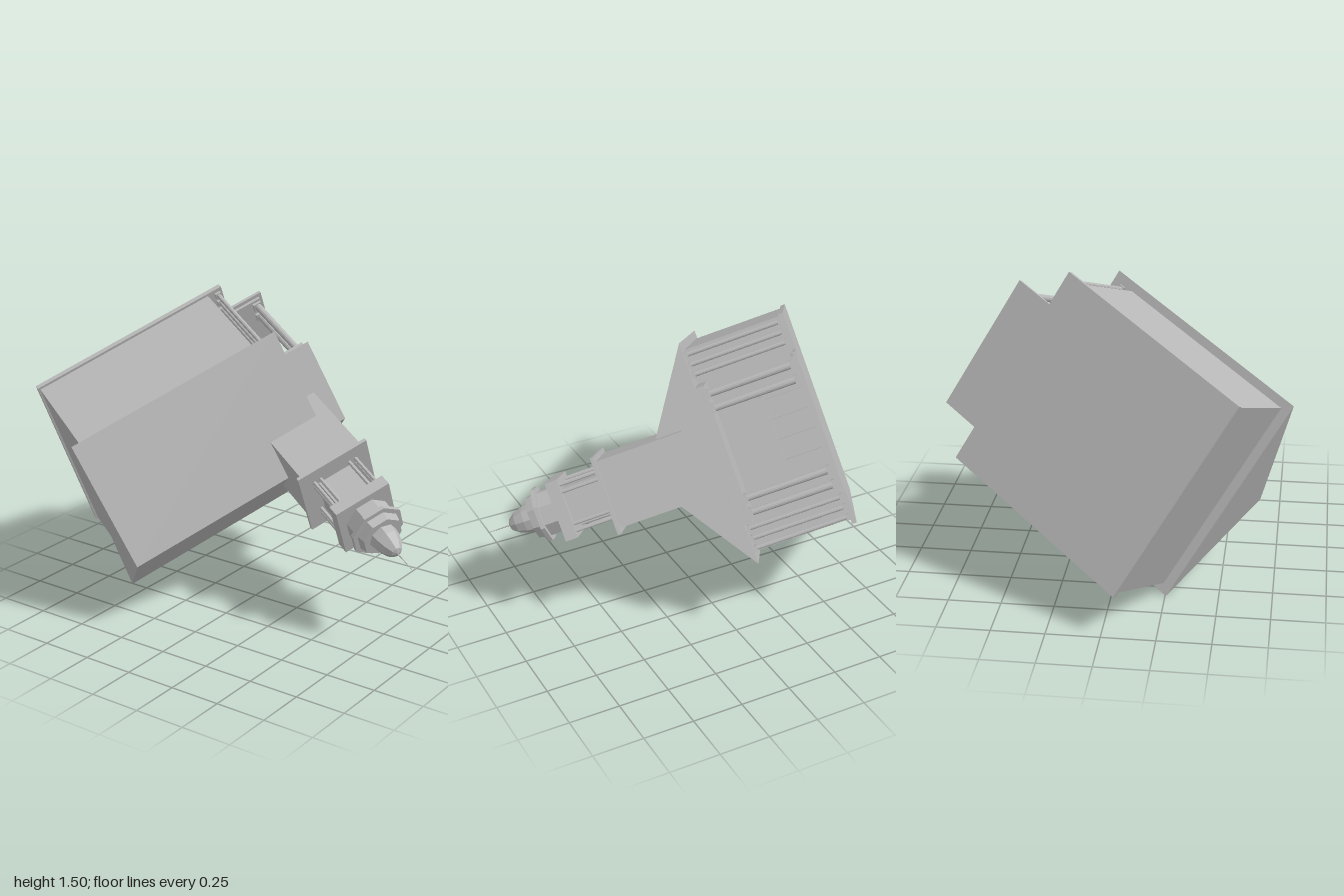
import * as THREE from 'three';

const stone = new THREE.MeshStandardMaterial({ color: 0xb8b8b8 });
stone.name = 'paleStone';
stone.flatShading = true;

export function createModel() {
  const model = new THREE.Group();
  const hall = new THREE.Group();
  hall.name = 'hall';
  model.add(hall);

  const add = (name, geometry, x, y, z) => {
    const mesh = new THREE.Mesh(geometry, stone);
    mesh.name = name;
    mesh.position.set(x, y, z);
    hall.add(mesh);
    return mesh;
  };
  // Box given by its limits along each axis
  const box = (name, x0, x1, y0, y1, z0, z1) =>
    add(name, new THREE.BoxGeometry(x1 - x0, y1 - y0, z1 - z0), (x0 + x1) / 2, (y0 + y1) / 2, (z0 + z1) / 2);
  // Upright round or tapered part
  const drum = (name, rTop, rBottom, y0, y1, x, z, sides = 8) => {
    const g = new THREE.CylinderGeometry(rTop, rBottom, y1 - y0, sides);
    g.rotateY(Math.PI / sides);
    return add(name, g, x, (y0 + y1) / 2, z);
  };
  // Triangular roof prism
  const gable = (name, half, eave, ridge, z0, z1) => {
    const s = new THREE.Shape([
      new THREE.Vector2(-half, eave), new THREE.Vector2(half, eave), new THREE.Vector2(0, ridge)]);
    return add(name, new THREE.ExtrudeGeometry(s, { depth: z1 - z0, bevelEnabled: false }), 0, 0, z0);
  };

  // Main body
  box('plinth', -0.52, 0.52, 0, 0.023, -0.445, 0.588);
  box('walls', -0.507, 0.507, 0.02, 0.497, -0.435, 0.51);
  gable('mainRoof', 0.549, 0.497, 0.863, -0.48, 0.624);

  // Portico
  box('porchStep', -0.344, 0.344, 0, 0.015, 0.55, 0.783);
  box('porchFloor', -0.325, 0.325, 0.015, 0.03, 0.5, 0.765);
  box('entablature', -0.335, 0.335, 0.445, 0.487, 0.5, 0.765);
  gable('porticoRoof', 0.362, 0.487, 0.722, 0.55, 0.78);

  for (const side of [-1, 1]) {
    // Paired portico columns with feet and capitals
    for (const x of [0.22, 0.29]) {
      drum('porticoColumn', 0.016, 0.018, 0.03, 0.445, side * x, 0.74, 12);
      for (const y of [0.03, 0.43])
        box('columnBlock', side * x - 0.022, side * x + 0.022, y, y + 0.015, 0.718, 0.762);
    }
    // Slim columns at the corners of the facade
    for (const x of [0.385, 0.435, 0.485]) {
      drum('cornerColumn', 0.011, 0.011, 0.023, 0.497, side * x, 0.56, 10);
      for (const y of [0.023, 0.482])
        box('cornerBlock', side * x - 0.015, side * x + 0.015, y, y + 0.015, 0.545, 0.575);
    }
  }

  // Door surround
  for (const x of [-0.15, -0.05, 0.05, 0.15])
    box('doorPost', x - 0.012, x + 0.012, 0.03, 0.22, 0.51, 0.535);
  box('doorLintel', -0.18, 0.18, 0.22, 0.245, 0.51, 0.545);

  // Tower
  const tz = 0.53;
  const square = (name, h, y0, y1) => box(name, -h, h, y0, y1, tz - h, tz + h);
  square('towerBase', 0.165, 0.615, 1.045);
  square('towerCornice', 0.19, 1.043, 1.06);
  square('belfryCore', 0.095, 1.06, 1.25);
  square('belfrySlab', 0.145, 1.25, 1.31);

  // Belfry columns, paired at each corner
  for (let i = 0; i < 4; i++) {
    const a = (i * Math.PI) / 2;
    for (const t of [-0.115, -0.08, 0.08, 0.115]) {
      const x = 0.115 * Math.cos(a) - t * Math.sin(a);
      const z = tz + 0.115 * Math.sin(a) + t * Math.cos(a);
      drum('belfryColumn', 0.009, 0.009, 1.06, 1.25, x, z);
    }
  }

  // Lantern, dome and needle
  drum('lanternDrum', 0.115, 0.115, 1.31, 1.385, 0, tz);
  drum('lanternRing', 0.14, 0.14, 1.385, 1.405, 0, tz);
  drum('lanternCap', 0.105, 0.115, 1.405, 1.445, 0, tz);
  const profile = [[0.072, 0], [0.066, 0.04], [0.05, 0.085], [0.028, 0.115], [0, 0.125]]
    .map(([r, y]) => new THREE.Vector2(r, y));
  add('dome', new THREE.LatheGeometry(profile, 8), 0, 1.445, tz);
  drum('needle', 0.001, 0.004, 1.56, 1.684, 0, tz, 6);

  // The whole hall lies tipped over on one roof corner
  const across = new THREE.Vector3(0.116, 0.854, 0.508).normalize();
  const up = new THREE.Vector3(0.8655, -0.341, 0.367);
  const along = new THREE.Vector3().crossVectors(across, up).normalize();
  up.crossVectors(along, across);
  hall.quaternion.setFromRotationMatrix(new THREE.Matrix4().makeBasis(across, up, along));
  hall.position.set(-0.723, 0.832, -0.024);
  return model;
}
